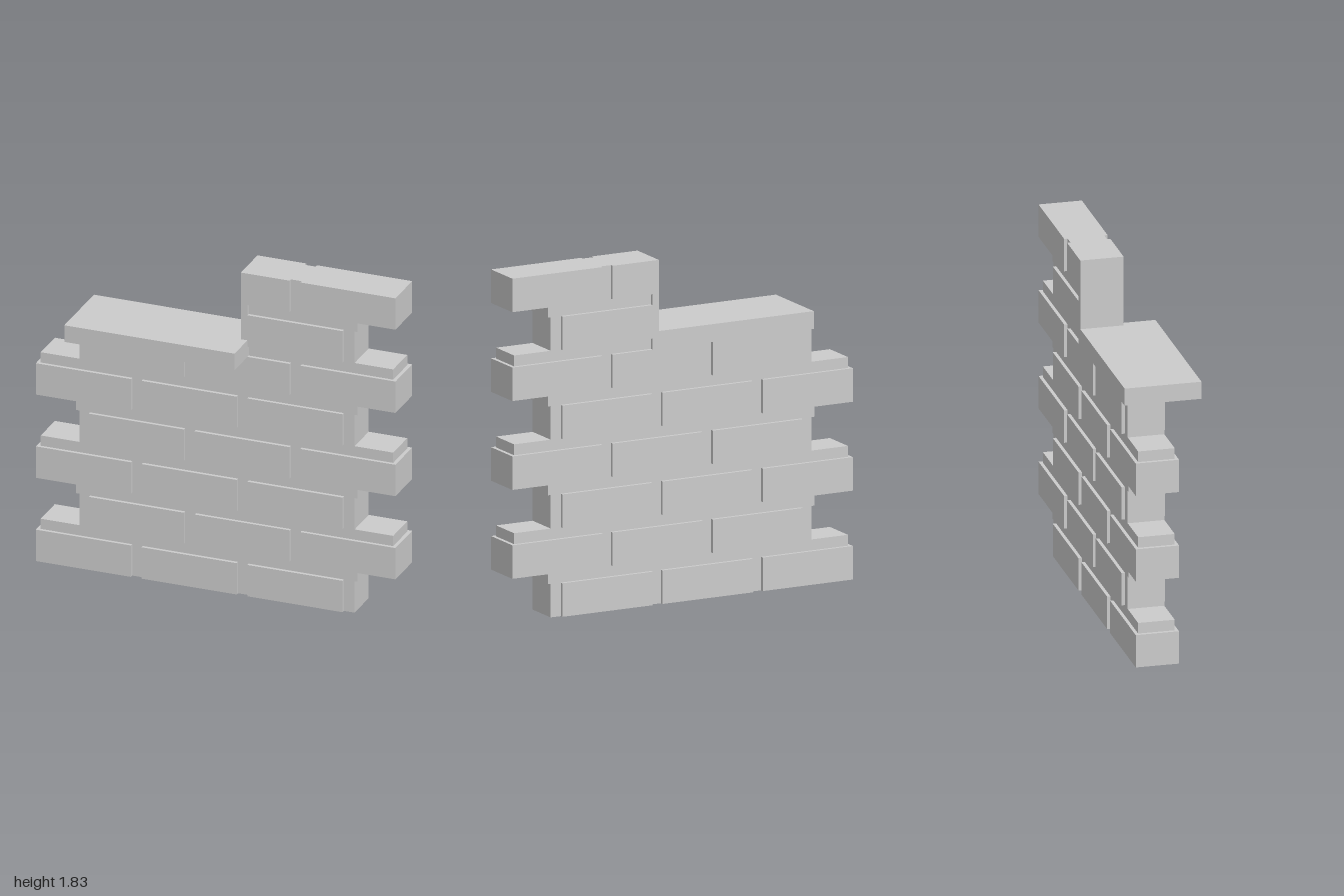
import * as THREE from 'three';

const material = new THREE.MeshStandardMaterial({ color: 0xcccccc, flatShading: true });

const BRICK_Z = [-0.205, 0.026];
const MORTAR_Z = [-0.187, 0.008];
const LENGTH = 0.529, JOINT = 0.0595, HEIGHT = 0.178;
const PITCH = LENGTH + JOINT, ROW = 0.236;

// Box between two corners
function block(name, [x0, x1], [y0, y1], [z0, z1]) {
  const mesh = new THREE.Mesh(new THREE.BoxGeometry(x1 - x0, y1 - y0, z1 - z0), material);
  mesh.position.set((x0 + x1) / 2, (y0 + y1) / 2, (z0 + z1) / 2);
  mesh.name = name;
  return mesh;
}

export function createModel() {
  const wall = new THREE.Group();
  wall.name = 'brickWall';
  const jambLeft = 0.14, jambRight = 0.177;

  for (let row = 0; row < 8; row++) {
    const course = new THREE.Group();
    course.name = `course${row + 1}`;
    const y = [row * ROW, row * ROW + HEIGHT];
    const shifted = row % 2 === 1;
    const upper = row > 5; // courses beside the window opening

    // Bricks, each with one upright mortar joint at its side
    for (let i = upper ? (shifted ? 1 : 2) : 0; i < 3; i++) {
      let x0 = shifted ? 1 - LENGTH - (2 - i) * PITCH : -1 + i * PITCH;
      const x1 = x0 + LENGTH;
      const cut = upper && x0 < 0.3;
      if (cut) x0 = jambLeft;
      course.add(block('brick', [x0, x1], y, BRICK_Z));
      if (!shifted) course.add(block('headJoint', [x1, x1 + JOINT], y, MORTAR_Z));
      else if (!cut) course.add(block('headJoint', [x0 - JOINT, x0], y, MORTAR_Z));
    }

    // Flat mortar bed on top of the course
    if (row < 7) {
      const left = row > 4 ? jambRight : shifted ? -0.785 : -0.98;
      course.add(block('bedJoint', [left, shifted ? 0.98 : 0.782], [y[1], (row + 1) * ROW], MORTAR_Z));
    }
    wall.add(course);
  }

  // Window sill, overhanging the front, and the plain jamb edge above it
  const sillY = [5 * ROW + HEIGHT, 1.452];
  wall.add(block('windowSill', [-0.77, jambRight], sillY, [BRICK_Z[0], 0.205]));
  wall.add(block('jambLower', [jambLeft, jambRight], [sillY[1], 6 * ROW + HEIGHT], BRICK_Z));
  wall.add(block('jambUpper', [jambLeft, jambRight], [6 * ROW + HEIGHT, 7 * ROW], BRICK_Z));
  return wall;
}
